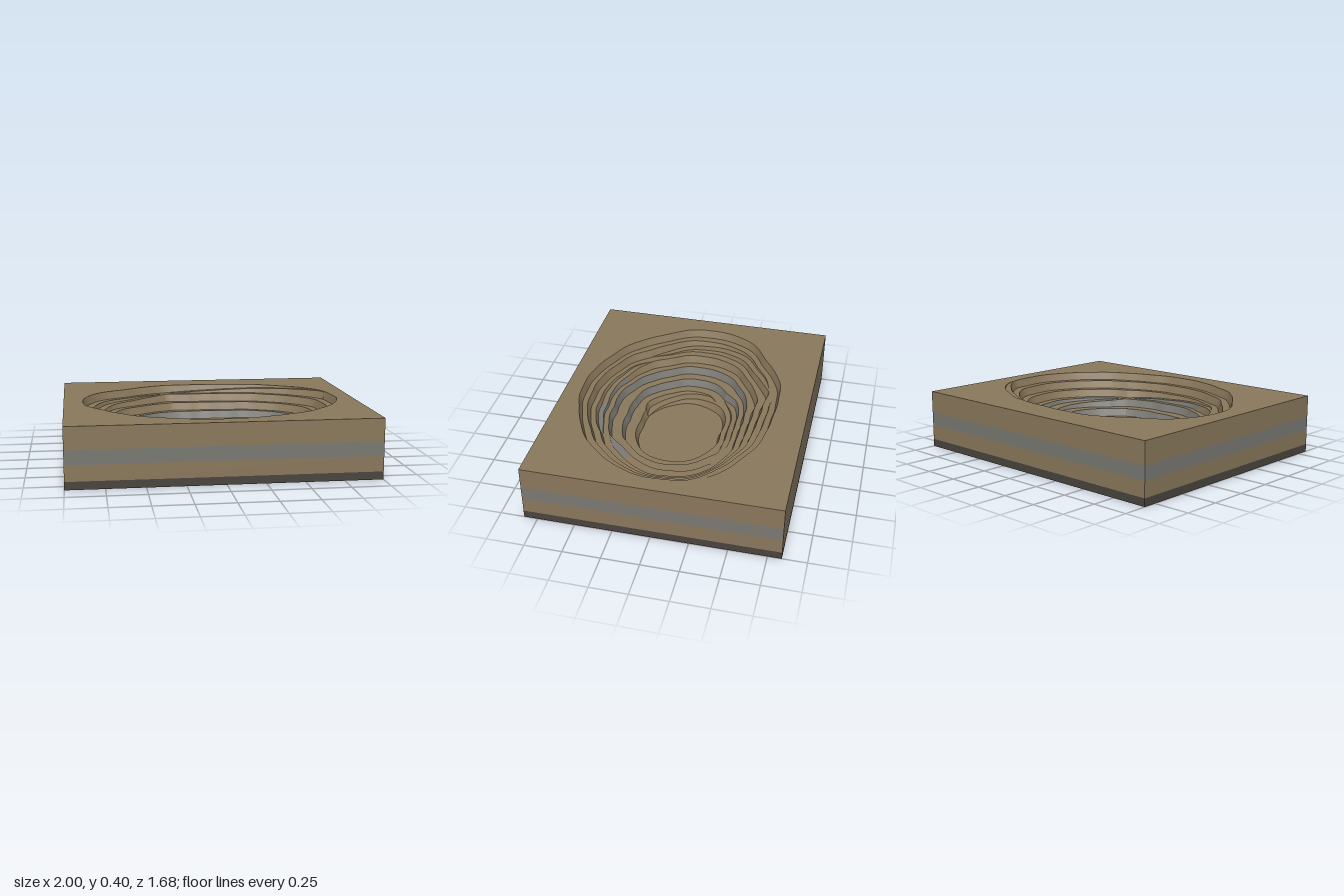
import * as THREE from 'three';

const TOP = 0.395, FLOOR = 0.077, BASE = 0.052, CZ = 0.05;
const FACES = 6, DROP = (TOP - FLOOR) / FACES, STEPS = 180;
const FACE_RUN = 0.02, RAMP_START = 345, RAMP_SWEEP = 590;

// Pit outlines: radius every 22.5 degrees, running from +x towards +z
const RIM = [0.885, 0.82, 0.74, 0.685, 0.68, 0.685, 0.73, 0.785, 0.87, 0.86, 0.755, 0.715, 0.67, 0.705, 0.79, 0.89];
const MID = [0.67, 0.61, 0.54, 0.49, 0.47, 0.495, 0.52, 0.555, 0.6, 0.59, 0.535, 0.48, 0.445, 0.48, 0.57, 0.655];
const PIT_FLOOR = [0.37, 0.36, 0.32, 0.285, 0.26, 0.28, 0.3, 0.32, 0.35, 0.35, 0.345, 0.31, 0.28, 0.305, 0.33, 0.365];

function outline(radii) {
  const curve = new THREE.CatmullRomCurve3(radii.map(r => new THREE.Vector3(r, 0, 0)), true, 'catmullrom', 0.5);
  return u => curve.getPoint(u % 1).x;
}

// Spiral haul road: where it crosses bench face k on a ray, and how wide it is there
function rampAt(deg, k) {
  const turn = (RAMP_START - deg + 720) % 360;
  let best = { frac: 0.5, width: 0 }, nearest = Infinity;
  for (const progress of [turn, turn + 360]) {
    if (progress > RAMP_SWEEP) continue;
    const s = progress / RAMP_SWEEP * FACES - k;
    if (Math.abs(s - 0.5) >= nearest) continue;
    nearest = Math.abs(s - 0.5);
    const width = THREE.MathUtils.clamp(Math.min(s, 1 - s) / 0.15, 0, 1);
    best = { frac: THREE.MathUtils.clamp(s, 0, 1), width };
  }
  return best;
}

// One radial section: crest, ramp outer edge, ramp inner edge and toe of each face
function section(u, rim, mid, low) {
  const angle = u * Math.PI * 2, points = [];
  const ramps = Array.from({ length: FACES }, (_, k) => rampAt(u * 360, k));
  const add = (r, y) => points.push(new THREE.Vector3(r * Math.cos(angle), y, CZ + r * Math.sin(angle)));
  const stage = (from, to, first, last, flats) => {
    let parts = flats;
    for (let k = first; k < last; k++) parts += ramps[k].width;
    const unit = (from - to - (last - first) * FACE_RUN) / parts;
    let r = from;
    for (let k = first; k < last; k++) {
      const { frac, width } = ramps[k], y = TOP - k * DROP;
      add(r, y);
      add(r -= FACE_RUN * frac, y - DROP * frac);
      add(r -= unit * width, y - DROP * frac);
      add(r -= FACE_RUN * (1 - frac), y - DROP);
      if (k - first < flats) r -= unit;
    }
  };
  const wobble = 0.003 * Math.sin(angle * 11) + 0.002 * Math.sin(angle * 19 + 1);
  stage(rim(u) + wobble, mid(u) + wobble, 0, 3, 3);
  stage(mid(u) + wobble, low(u), 3, 6, 2);
  return points;
}

// Quads between neighbouring sections, for the chosen columns and centre heights
function strips(sections, columns, accepts = () => true) {
  const pos = [], tri = new THREE.Triangle();
  const put = (a, b, c) => {
    if (tri.set(a, b, c).getArea() > 1e-9) for (const p of [a, b, c]) pos.push(p.x, p.y, p.z);
  };
  sections.forEach((s, i) => {
    const n = sections[(i + 1) % sections.length];
    for (const j of columns) {
      if (!accepts((s[j].y + s[j + 1].y + n[j].y + n[j + 1].y) / 4)) continue;
      put(s[j], s[j + 1], n[j]);
      put(s[j + 1], n[j + 1], n[j]);
    }
  });
  const g = new THREE.BufferGeometry();
  g.setAttribute('position', new THREE.Float32BufferAttribute(pos, 3));
  g.computeVertexNormals();
  return g;
}

export function createModel() {
  const model = new THREE.Group();
  model.name = 'openPitBlock';
  const material = (name, color) => {
    const m = new THREE.MeshStandardMaterial({ color, flatShading: true });
    m.name = name;
    return m;
  };
  const earth = material('brown earth', 0x8a785c);
  const ore = material('grey rock', 0x7a7973);
  const bedrock = material('dark bedrock', 0x49443d);
  const underside = material('underside grey', 0x74716a);
  const add = (name, geometry, mat, y = 0) => {
    const mesh = new THREE.Mesh(geometry, mat);
    mesh.name = name;
    mesh.position.y = y;
    model.add(mesh);
  };

  // Layered outer sides and the underside
  const layer = (name, low, high, mat) => {
    const g = new THREE.CylinderGeometry(Math.SQRT1_2, Math.SQRT1_2, high - low, 4, 1, true);
    g.rotateY(Math.PI / 4).scale(2, 1, 1.68);
    add(name, g, mat, (low + high) / 2);
  };
  layer('bedrockLayer', 0, BASE, bedrock);
  layer('lowerEarthLayer', BASE, 0.155, earth);
  layer('rockLayer', 0.155, 0.248, ore);
  layer('upperEarthLayer', 0.248, TOP, earth);
  add('underside', new THREE.PlaneGeometry(2, 1.68).rotateX(Math.PI / 2), underside);

  // Stepped pit: the rock layer shows on the walls and on a short length of the ramp
  const rim = outline(RIM), mid = outline(MID), low = outline(PIT_FLOOR);
  const sections = Array.from({ length: STEPS }, (_, i) => section(i / STEPS, rim, mid, low));
  const walls = [], ramp = [], benches = [];
  for (let k = 0; k < FACES; k++) {
    walls.push(k * 4, k * 4 + 2);
    ramp.push(k * 4 + 1);
    if (k < FACES - 1) benches.push(k * 4 + 3);
  }
  const rockWall = y => y > 0.145 && y < 0.256;
  const rockRamp = y => y > 0.222 && y < 0.256;
  add('earthBenchWalls', strips(sections, walls, y => !rockWall(y)), earth);
  add('rockBenchWalls', strips(sections, walls, rockWall), ore);
  add('benchFlats', strips(sections, benches), earth);
  add('earthHaulRamp', strips(sections, ramp, y => !rockRamp(y)), earth);
  add('rockHaulRamp', strips(sections, ramp, rockRamp), ore);

  // Ground around the pit, and the pit floor
  const loop = j => sections.map(s => new THREE.Vector2(s[j].x, -s[j].z));
  const ground = new THREE.Shape([[-1, -0.84], [1, -0.84], [1, 0.84], [-1, 0.84]].map(p => new THREE.Vector2(...p)));
  ground.holes.push(new THREE.Path(loop(0)));
  add('groundSurface', new THREE.ShapeGeometry(ground).rotateX(-Math.PI / 2), earth, TOP);
  add('pitFloor', new THREE.ShapeGeometry(new THREE.Shape(loop(FACES * 4 - 1))).rotateX(-Math.PI / 2), earth, FLOOR);
  return model;
}
